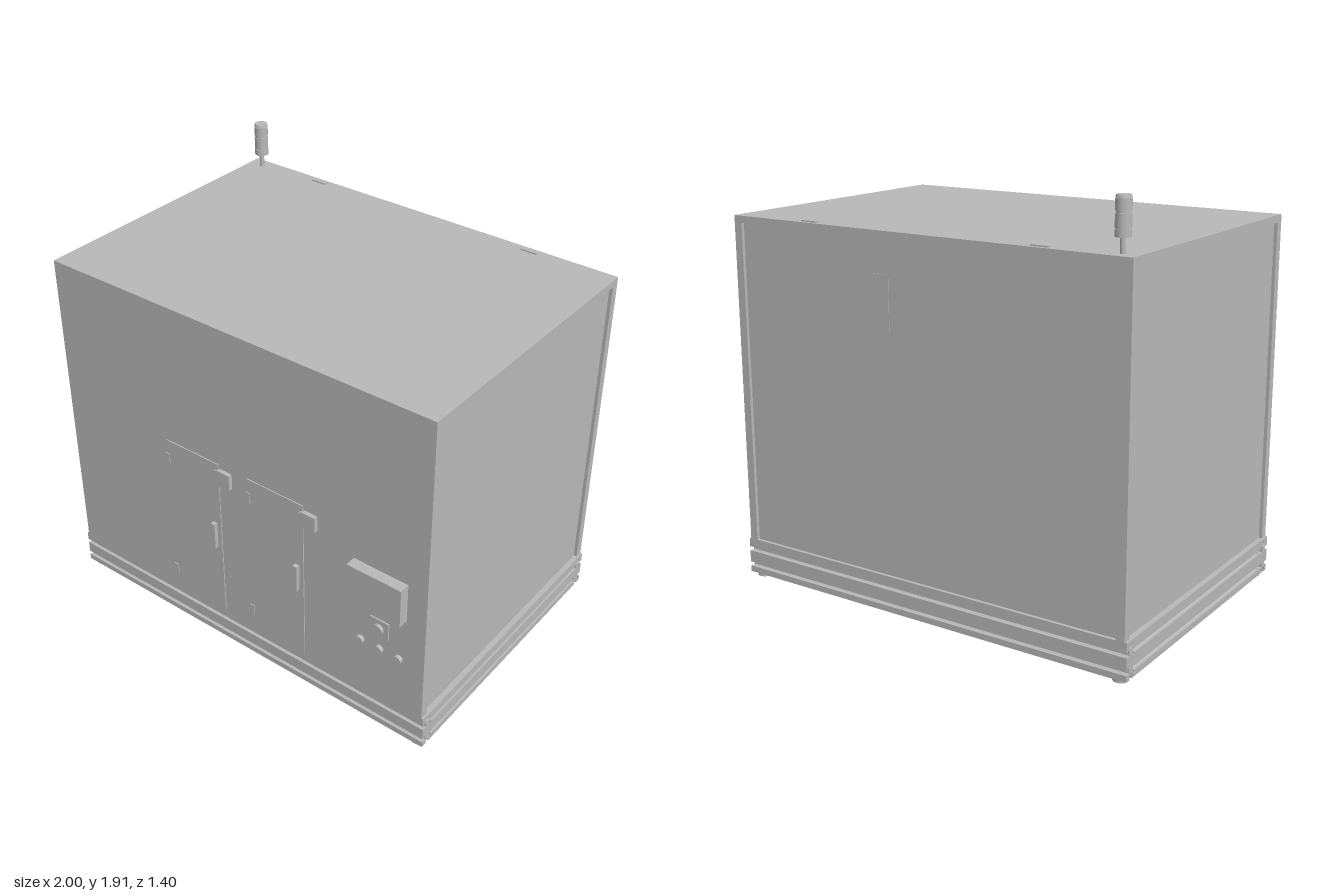
import * as THREE from 'three';

export function createModel() {
  const root = new THREE.Group();
  root.name = 'machineCabinet';
  const grey = new THREE.MeshStandardMaterial({ color: 0xb8b8b8 });
  grey.name = 'plain grey';

  const add = (name, geo, x = 0, y = 0, z = 0) => {
    const m = new THREE.Mesh(geo, grey);
    m.name = name;
    m.position.set(x, y, z);
    root.add(m);
    return m;
  };
  // box given by its limits
  const box = (name, x0, x1, y0, y1, z0, z1) =>
    add(name, new THREE.BoxGeometry(x1 - x0, y1 - y0, z1 - z0), (x0 + x1) / 2, (y0 + y1) / 2, (z0 + z1) / 2);
  const disc = (name, r0, r1, h, x, y, z, forward = false) => {
    const m = add(name, new THREE.CylinderGeometry(r1, r0, h, 32), x, y, z);
    if (forward) m.rotation.x = Math.PI / 2;
    return m;
  };

  // slotted double-height beam profile, centred, c = cell size
  const c = 0.076;
  const slot = [[-0.01, 0], [-0.01, 0.01], [-0.018, 0.01], [-0.008, 0.023],
    [0.008, 0.023], [0.018, 0.01], [0.01, 0.01], [0.01, 0]];
  const pts = [];
  const edge = (cx, cy, dx, dy) => // slot on an edge running along (dx, dy), inside to its left
    slot.forEach(([s, d]) => pts.push(new THREE.Vector2(cx + dx * s - dy * d, cy + dy * s + dx * d)));
  const corner = (x, y) => pts.push(new THREE.Vector2(x, y));
  corner(-c / 2, -c); edge(0, -c, 1, 0);
  corner(c / 2, -c); edge(c / 2, -c / 2, 0, 1); edge(c / 2, c / 2, 0, 1);
  corner(c / 2, c); edge(0, c, -1, 0);
  corner(-c / 2, c); edge(-c / 2, c / 2, 0, -1); edge(-c / 2, -c / 2, 0, -1);
  const profile = new THREE.Shape(pts);
  const beam = (name, len, x, z, alongX) => {
    const g = new THREE.ExtrudeGeometry(profile, { depth: len, bevelEnabled: false });
    g.translate(0, 0, -len / 2);
    if (alongX) g.rotateY(Math.PI / 2);
    add(name, g, x, 0.018 + c, z);
  };

  // base frame and feet
  const zF = 0.65, zB = -0.70;
  beam('frontBaseBeam', 2, 0, zF - c / 2, true);
  beam('backBaseBeam', 2, 0, zB + c / 2, true);
  for (const s of [-1, 1]) {
    beam('sideBaseBeam', zF - zB - 2 * c, s * (1 - c / 2), (zF + zB) / 2, false);
    for (const z of [0.605, -0.655]) disc('foot', 0.034, 0.034, 0.02, s * 0.952, 0.01, z);
  }
  box('floorPlate', -1, 1, 0.17, 0.185, zB, zF);

  // cabinet: recessed panels behind a raised border
  const w = 0.99, top = 1.692;
  box('recessedPanels', -0.975, 0.975, 0.185, top - 0.01, zB + 0.015, zF - 0.01);
  box('frontPanel', -w, w, 0.185, top, 0.61, zF);
  box('roof', -w, w, 1.66, top, zB, 0.61);
  box('leftBackPost', 0.95, w, 0.185, 1.66, zB, zB + 0.038);
  box('rightBackPost', -w, -0.95, 0.185, 1.66, zB, zB + 0.038);
  box('backPlate', 0.15, 0.225, 1.23, 1.51, zB + 0.013, zB + 0.016);

  // two front doors with hinges, handle and lock
  for (const x of [-0.39, 0.07]) {
    box('door', x, x + 0.3, 0.19, 1.015, zF - 0.001, zF + 0.005);
    for (const y of [0.257, 0.89]) box('hinge', x - 0.004, x + 0.017, y, y + 0.057, zF, 0.659);
    box('doorHandle', x + 0.256, x + 0.278, 0.555, 0.688, zF, 0.675);
    const s = new THREE.Shape();
    [[0.287, 0.932], [0.308, 0.92], [0.373, 0.92], [0.373, 0.995], [0.308, 0.995], [0.287, 0.985]]
      .forEach(([a, b], i) => (i ? s.lineTo(x + a, b) : s.moveTo(x + a, b)));
    add('doorLock', new THREE.ExtrudeGeometry(s, { depth: 0.02, bevelEnabled: false }), 0, 0, zF);
  }

  // control station
  box('screenMount', 0.66, 0.88, 0.70, 0.87, zF, 0.657);
  box('screenHousing', 0.633, 0.9, 0.69, 0.88, 0.655, 0.705);
  box('stopButtonPlate', 0.72, 0.813, 0.527, 0.617, zF, 0.657);
  disc('stopButtonStem', 0.025, 0.025, 0.02, 0.766, 0.572, 0.664, true);
  disc('stopButtonHead', 0.03, 0.037, 0.012, 0.766, 0.572, 0.677, true);
  for (const x of [0.671, 0.768, 0.865]) disc('pushButton', 0.02, 0.02, 0.018, x, 0.457, 0.659, true);

  // roof brackets
  for (const x of [-0.577, 0.577]) box('roofBracket', x - 0.04, x + 0.04, top - 0.002, top + 0.006, -0.683, -0.66);

  // signal light: pole, core and stacked tiers
  const bx = -0.917, bz = -0.647;
  disc('signalPole', 0.011, 0.011, 0.08, bx, 1.725, bz);
  disc('signalCore', 0.028, 0.028, 0.146, bx, 1.83, bz);
  for (const [y0, y1] of [[1.755, 1.783], [1.787, 1.842], [1.852, 1.895], [1.898, 1.91]])
    disc('signalTier', 0.032, y1 > 1.9 ? 0.029 : 0.032, y1 - y0, bx, (y0 + y1) / 2, bz);

  return root;
}
